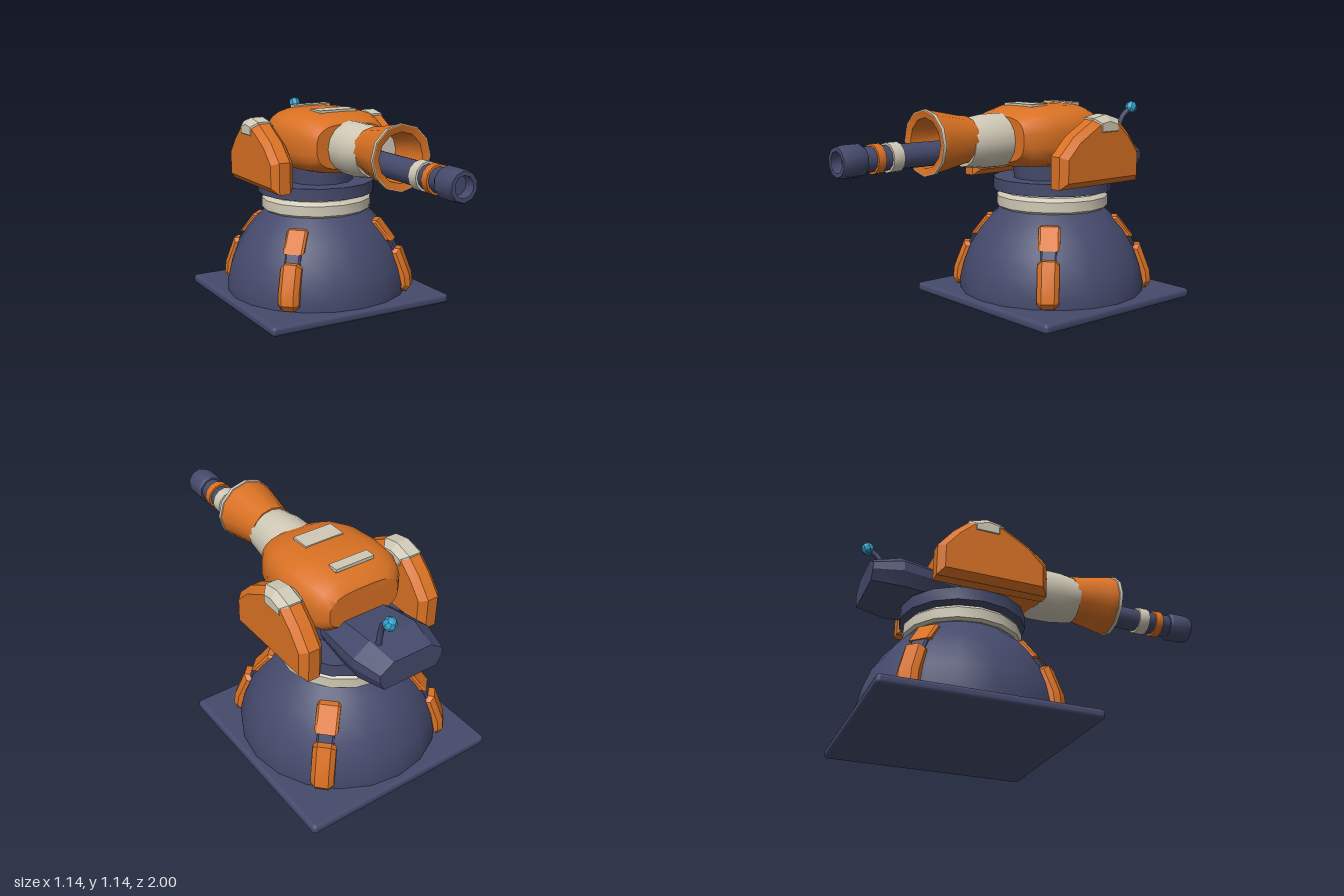
import * as THREE from 'three';
import { toCreasedNormals } from 'three/addons/utils/BufferGeometryUtils.js';
import { RoundedBoxGeometry } from 'three/addons/geometries/RoundedBoxGeometry.js';

const material = (name, color) => {
  const m = new THREE.MeshStandardMaterial({ color });
  m.name = name;
  return m;
};
const vec = ([x, y]) => new THREE.Vector2(x, y);

// Turned part: points are [radius, height]
const turned = (pts, sides, crease = 0.6) =>
  toCreasedNormals(new THREE.LatheGeometry(pts.map(vec), sides), crease);

// Plate cut to an outline, bevelled inwards, centred on its thickness
function bevelled(pts, thickness, bevel, crease = 0.3) {
  const depth = thickness - 2 * bevel;
  const g = new THREE.ExtrudeGeometry(new THREE.Shape(pts.map(vec)), {
    depth, bevelEnabled: true, bevelThickness: bevel, bevelSize: bevel,
    bevelOffset: -bevel, bevelSegments: 1,
  });
  g.translate(0, 0, -depth / 2);
  return toCreasedNormals(g, crease);
}

// Closed hull through rounded sections [z, halfWidth, bottom, top], front to back
function loft(sections, ring, crease) {
  const n = ring.length, pos = [], idx = [];
  for (const [z, w, lo, hi] of sections)
    for (const [x, y] of ring) pos.push(x * w, (lo + hi) / 2 + (y * (hi - lo)) / 2, z);
  const last = (sections.length - 1) * n;
  for (let s = 0; s < last; s += n)
    for (let i = 0; i < n; i++) {
      const j = (i + 1) % n;
      idx.push(s + i, s + n + i, s + j, s + j, s + n + i, s + n + j);
    }
  for (let i = 1; i < n - 1; i++) {
    idx.push(0, i, i + 1, last, last + i + 1, last + i);
  }
  const g = new THREE.BufferGeometry();
  g.setAttribute('position', new THREE.Float32BufferAttribute(pos, 3));
  g.setIndex(idx);
  return toCreasedNormals(g, crease);
}

// Unit ring between a circle (power 2) and a square (high power)
function superRing(n, power) {
  return Array.from({ length: n }, (_, i) => {
    const a = ((i + 0.5) / n) * Math.PI * 2, c = Math.cos(a), s = Math.sin(a);
    const f = (v) => Math.sign(v) * Math.abs(v) ** (2 / power);
    return [f(c), f(s)];
  });
}

export function createModel() {
  const navy = material('navy', 0x454a6c);
  const orange = material('orange', 0xd97123);
  const cream = material('cream', 0xd0c9b6);
  const cyan = material('cyan', 0x2f9fc8);
  const model = new THREE.Group();
  model.name = 'turret';
  const add = (name, geometry, mat, x = 0, y = 0, z = 0) => {
    const mesh = new THREE.Mesh(geometry, mat);
    mesh.name = name;
    mesh.position.set(x, y, z);
    model.add(mesh);
    return mesh;
  };
  const CZ = -0.425;

  // Base slab and dome
  add('baseSlab', new RoundedBoxGeometry(1.14, 0.055, 1.14, 2, 0.022), navy, 0, 0.0275, -0.43);
  add('dome', turned([[0, 0.05], [0.535, 0.05], [0.538, 0.11], [0.515, 0.21], [0.473, 0.32],
    [0.415, 0.41], [0.355, 0.48], [0.29, 0.54], [0, 0.54]], 20), navy, 0, 0, CZ);

  // Four two-piece ribs on the diagonals of the dome
  for (let k = 0; k < 4; k++) {
    const angle = Math.PI / 4 + (k * Math.PI) / 2;
    const lower = bevelled([[0.42, 0.065], [0.555, 0.065], [0.58, 0.1], [0.572, 0.17],
      [0.515, 0.32], [0.42, 0.32]], 0.12, 0.025);
    const upper = bevelled([[0.3, 0.365], [0.47, 0.365], [0.38, 0.483], [0.3, 0.483]], 0.12, 0.012);
    const joint = bevelled([[0.38, 0.29], [0.495, 0.29], [0.45, 0.39], [0.38, 0.39]], 0.09, 0.01);
    add('lowerRib', lower, orange, 0, 0, CZ).rotation.y = angle;
    add('upperRib', upper, orange, 0, 0, CZ).rotation.y = angle;
    add('ribJoint', joint, navy, 0, 0, CZ).rotation.y = angle;
  }

  // Stacked swivel rings
  add('creamRing', turned([[0, 0.535], [0.305, 0.535], [0.322, 0.548], [0.322, 0.605],
    [0.3, 0.627], [0, 0.627]], 16, 0.5), cream, 0, 0, CZ);
  add('swivelRing', turned([[0, 0.64], [0.342, 0.64], [0.342, 0.71], [0, 0.71]], 16),
    navy, 0, 0, CZ);
  add('neck', turned([[0, 0.7], [0.19, 0.7], [0.2, 0.84], [0, 0.84]], 12), navy, 0, 0, -0.38);

  // Rounded head
  add('head', loft([
    [-0.015, 0.215, 0.83, 1.08], [-0.07, 0.25, 0.8, 1.108], [-0.18, 0.29, 0.79, 1.132],
    [-0.34, 0.305, 0.785, 1.136], [-0.48, 0.29, 0.79, 1.132], [-0.56, 0.255, 0.81, 1.1],
    [-0.605, 0.21, 0.85, 1.05],
  ], superRing(24, 3), 0.7), orange);
  add('rearTopPlate', new THREE.BoxGeometry(0.23, 0.018, 0.06), cream, 0, 1.13, -0.49);
  add('frontTopPlate', new THREE.BoxGeometry(0.23, 0.018, 0.11), cream, 0, 1.13, -0.215);

  // Faceted rear pack
  const chamfered = [[1, -0.25], [1, 0.3], [0.6, 1], [-0.6, 1], [-1, 0.3], [-1, -0.25],
    [-0.85, -1], [0.85, -1]];
  add('rearPack', loft([
    [-0.5, 0.19, 0.72, 0.87], [-0.68, 0.215, 0.715, 0.9], [-0.82, 0.23, 0.718, 0.915],
    [-0.975, 0.19, 0.735, 0.88],
  ], chamfered, 0.3), navy);

  // Antenna with a bright tip
  const path = new THREE.CatmullRomCurve3([[0.108, 0.88, -0.85], [0.11, 0.96, -0.86],
    [0.117, 1.04, -0.885], [0.128, 1.085, -0.935]].map((p) => new THREE.Vector3(...p)));
  add('antenna', new THREE.TubeGeometry(path, 10, 0.015, 8), navy);
  const tip = new THREE.SphereGeometry(0.036, 8, 5);
  add('antennaTip', toCreasedNormals(tip, 0.3), cyan, 0.13, 1.09, -0.945).rotation.x = -0.5;

  // Side pods with a cream cap on each
  const podShape = [[-0.7, 0.705], [-0.1, 0.705], [-0.1, 0.88], [-0.2, 0.98], [-0.35, 1.065],
    [-0.44, 1.083], [-0.53, 1.06], [-0.62, 0.98], [-0.7, 0.88]];
  const capShape = [[-0.54, 0.965], [-0.35, 0.965], [-0.345, 1.073], [-0.44, 1.09], [-0.54, 1.06]];
  for (const side of [-1, 1]) {
    add('sidePod', bevelled(podShape, 0.134, 0.035).rotateY(-Math.PI / 2), orange, side * 0.367);
    add('podCap', bevelled(capShape, 0.142, 0.035).rotateY(-Math.PI / 2), cream, side * 0.367);
  }

  // Sleeve and flared cowl in front of the head
  const alongZ = (pts, sides, crease) => turned(pts, sides, crease).rotateX(Math.PI / 2);
  const AY = 0.955;
  add('sleeve', alongZ([[0, -0.1], [0.14, -0.1], [0.148, 0], [0.146, 0.12], [0.128, 0.24],
    [0, 0.24]], 16), cream, 0, AY - 0.008, 0);
  add('cowl', alongZ([[0.1, 0.21], [0.127, 0.21], [0.132, 0.26], [0.163, 0.42],
    [0.17, 0.465]], 12), orange, 0, AY + 0.008, 0);
  add('cowlRim', alongZ([[0.17, 0.463], [0.175, 0.465], [0.175, 0.484], [0.17, 0.484]], 12),
    cream, 0, AY + 0.008, 0);
  add('cowlInside', alongZ([[0.17, 0.484], [0.132, 0.475], [0.115, 0.25]], 12),
    orange, 0, AY + 0.008, 0);
  add('cowlFloor', alongZ([[0.12, 0.25], [0, 0.25]], 12), cream, 0, AY + 0.008, 0);

  // Thin barrel, bands and hollow muzzle
  const BY = 0.907;
  const tube = (r, z0, z1) => alongZ([[0, z0], [r, z0], [r, z1], [0, z1]], 12);
  add('barrel', tube(0.065, 0.2, 0.9), navy, 0, BY, 0);
  add('creamBand', tube(0.077, 0.65, 0.715), cream, 0, BY, 0);
  add('orangeBand', tube(0.077, 0.76, 0.805), orange, 0, BY, 0);
  add('muzzle', alongZ([[0, 0.86], [0.075, 0.86], [0.083, 0.875], [0.083, 0.965], [0.076, 1],
    [0.055, 1], [0.055, 0.94], [0, 0.94]], 10, 0.7), navy, 0, BY, 0);
  return model;
}
